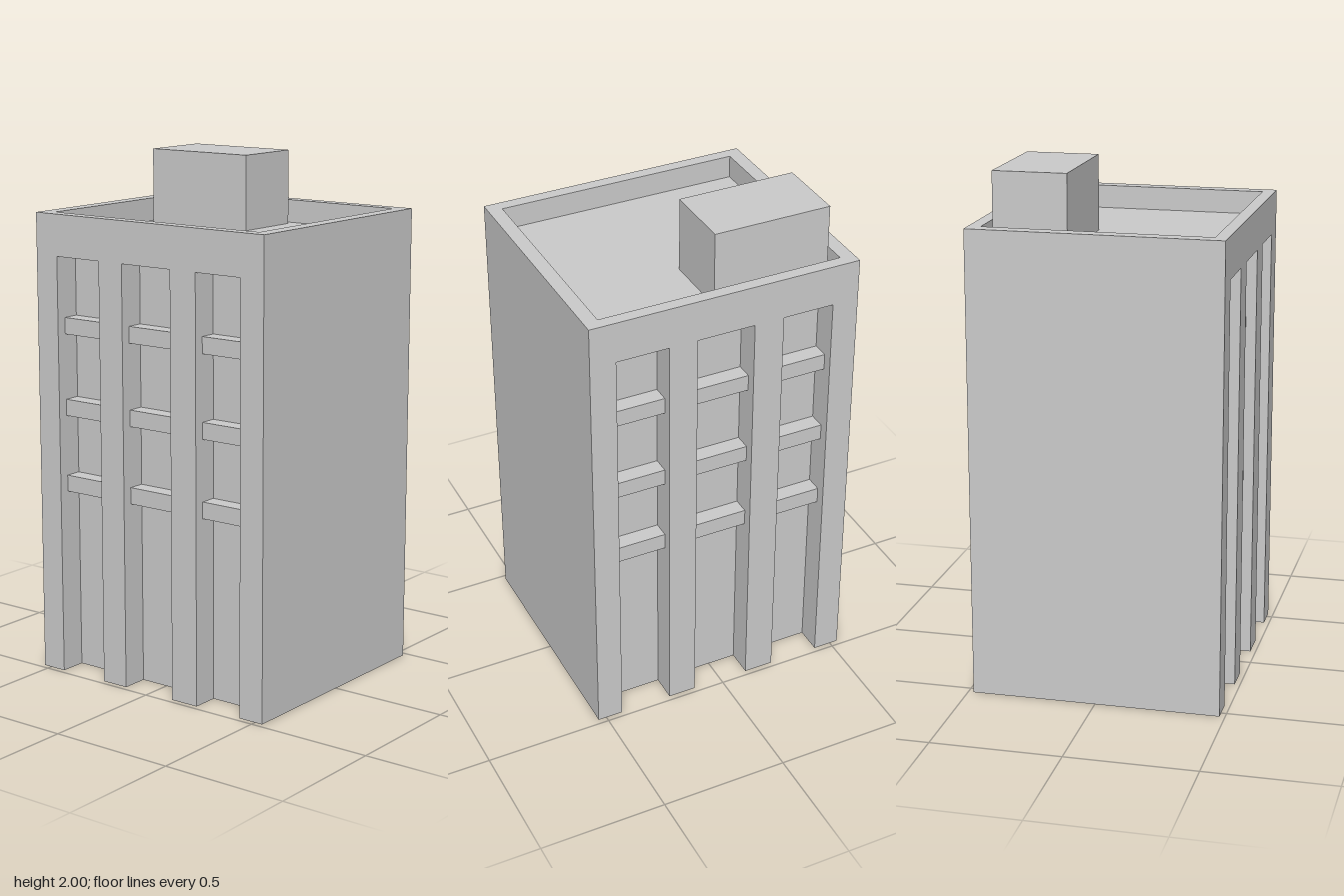
import * as THREE from 'three';

const W = 0.533, D = 0.479, H = 1.8;          // half width, half depth, wall height
const PIT_W = 0.478, PIT_D = 0.431, ROOF = 1.71; // sunken roof behind the parapet
const NICHE_TOP = 1.64, NICHE_DEPTH = 0.105;
const NICHES = [[-0.432, -0.226], [-0.115, 0.112], [0.229, 0.43]];
const LEDGES = [0.752, 1.052, 1.37];          // ledge centre heights
const LEDGE_H = 0.064, LEDGE_SETBACK = 0.04;

const material = new THREE.MeshStandardMaterial({ color: 0xcccccc, side: THREE.DoubleSide, flatShading: true });

function add(parent, name, geometry, x = 0, y = 0, z = 0, rx = 0, ry = 0) {
  const mesh = new THREE.Mesh(geometry, material);
  mesh.name = name;
  mesh.position.set(x, y, z);
  mesh.rotation.set(rx, ry, 0);
  parent.add(mesh);
  return mesh;
}

const plane = (w, h) => new THREE.PlaneGeometry(w, h);
const rect = (a, b) => [[-a, -b], [a, -b], [a, b], [-a, b]].map(([x, y]) => new THREE.Vector2(x, y));

// Wall with three tall niches, open at the ground, crossed by ledges
function createFacade(name) {
  const facade = new THREE.Group();
  facade.name = name;

  // Face outline notched from below by the niches
  const outline = [[-W, H], [-W, 0]];
  for (const [a, b] of NICHES) outline.push([a, 0], [a, NICHE_TOP], [b, NICHE_TOP], [b, 0]);
  outline.push([W, 0], [W, H]);
  const shape = new THREE.Shape(outline.map(([x, y]) => new THREE.Vector2(x, y)));
  add(facade, 'facadeWall', new THREE.ShapeGeometry(shape), 0, 0, D);

  const midZ = D - NICHE_DEPTH / 2, ledgeDepth = NICHE_DEPTH - LEDGE_SETBACK;
  for (const [a, b] of NICHES) {
    const w = b - a, cx = (a + b) / 2, cy = NICHE_TOP / 2;
    add(facade, 'nicheBack', plane(w, NICHE_TOP), cx, cy, D - NICHE_DEPTH);
    add(facade, 'nicheSide', plane(NICHE_DEPTH, NICHE_TOP), a, cy, midZ, 0, Math.PI / 2);
    add(facade, 'nicheSide', plane(NICHE_DEPTH, NICHE_TOP), b, cy, midZ, 0, -Math.PI / 2);
    add(facade, 'nicheSoffit', plane(w, NICHE_DEPTH), cx, NICHE_TOP, midZ, Math.PI / 2);
    for (const y of LEDGES) {
      add(facade, 'ledge', new THREE.BoxGeometry(w, LEDGE_H, ledgeDepth),
        cx, y, D - LEDGE_SETBACK - ledgeDepth / 2);
    }
  }
  return facade;
}

export function createModel() {
  const model = new THREE.Group();
  model.name = 'building';

  // Front and back are the same facade turned half round
  const back = createFacade('backFacade');
  back.rotation.y = Math.PI;
  model.add(createFacade('frontFacade'), back);

  // Plain side walls and inner parapet faces
  for (const s of [-1, 1]) {
    add(model, s > 0 ? 'leftWall' : 'rightWall', plane(2 * D, H), s * W, H / 2, 0, 0, s * Math.PI / 2);
    const h = H - ROOF, y = (H + ROOF) / 2;
    add(model, 'parapetSide', plane(2 * PIT_D, h), s * PIT_W, y, 0, 0, -s * Math.PI / 2);
    add(model, 'parapetEnd', plane(2 * PIT_W, h), 0, y, s * PIT_D, 0, s > 0 ? Math.PI : 0);
  }

  // Parapet rim and sunken roof
  const rim = new THREE.Shape(rect(W, D));
  rim.holes.push(new THREE.Path(rect(PIT_W, PIT_D)));
  add(model, 'parapetRim', new THREE.ShapeGeometry(rim), 0, H, 0, -Math.PI / 2);
  add(model, 'roof', plane(2 * PIT_W, 2 * PIT_D), 0, ROOF, 0, -Math.PI / 2);

  // Rooftop housing
  add(model, 'rooftopHousing', new THREE.BoxGeometry(0.458, 2 - ROOF, 0.28), -0.218, (2 + ROOF) / 2, -0.256);

  return model;
}
